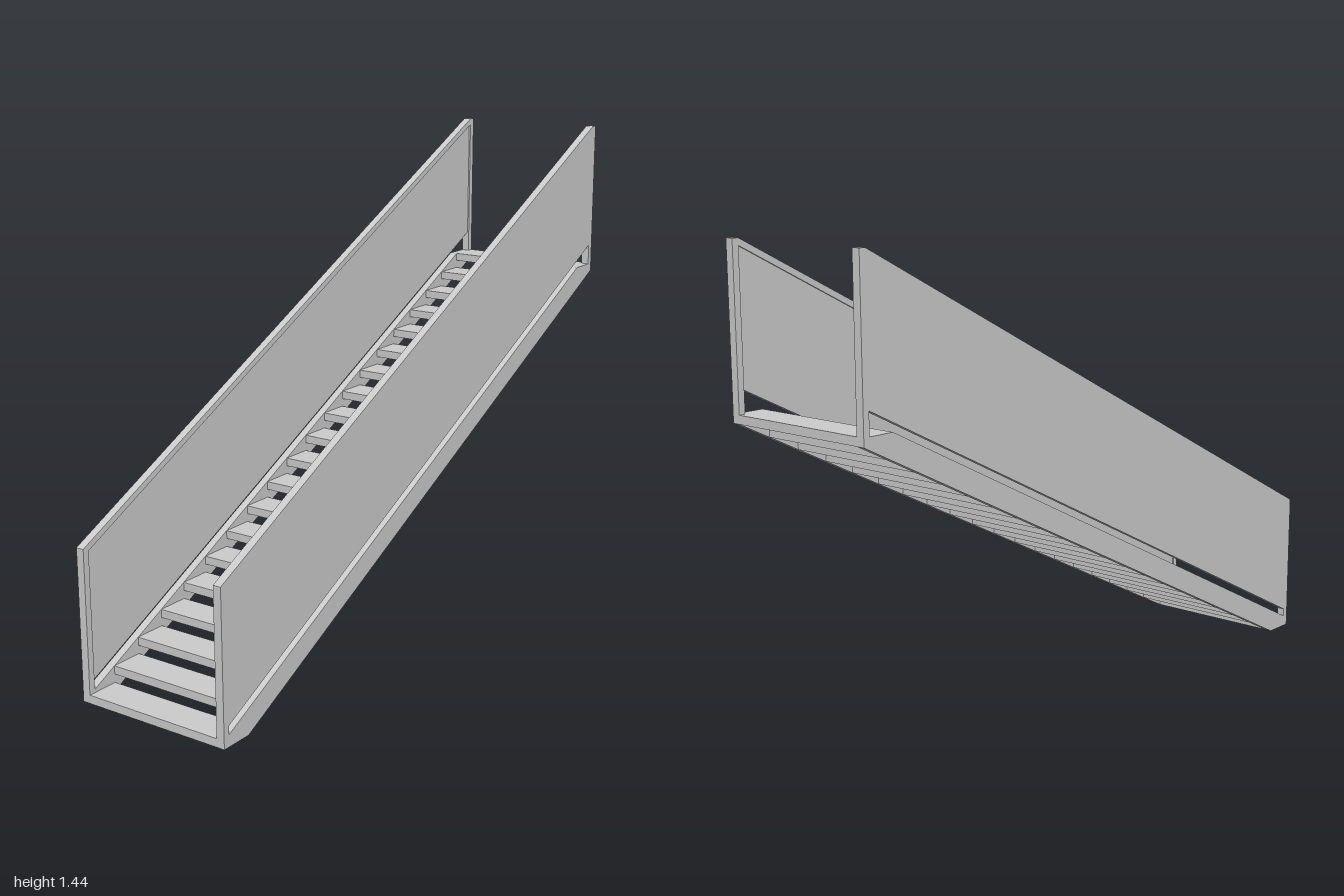
import * as THREE from 'three';

const STEPS = 20, RISE = 0.05, RUN = 0.1;
const HALF_WIDTH = 0.25, WALL = 0.025, RECESS = 0.005;

const material = new THREE.MeshStandardMaterial({ color: 0xcccccc, flatShading: true });

// Points are [z, y]; the profile plane is turned so depth runs along +x
const toPoints = (list) => list.map(([z, y]) => new THREE.Vector2(-z, y));

function sideLayer(hole, thickness, x, name) {
  const outline = [[1, 0], [0.9, 0], [-1, 0.95], [-1, 1.44], [-0.98, 1.44], [1, 0.45]];
  const shape = new THREE.Shape(toPoints(outline));
  shape.holes.push(new THREE.Path(toPoints(hole)));
  const geometry = new THREE.ExtrudeGeometry(shape, { depth: thickness, bevelEnabled: false });
  geometry.rotateY(Math.PI / 2);
  const mesh = new THREE.Mesh(geometry, material);
  mesh.position.x = x;
  mesh.name = name;
  return mesh;
}

export function createModel() {
  const group = new THREE.Group();
  group.name = 'staircase';

  // Open slot between the stringer and the side panel
  const slotBottom = [[0.98, 0.035], [-0.9, 0.975], [-0.98, 0.975]];
  const slot = [...slotBottom, [-0.98, 1.04], [0.98, 0.06]];
  // Larger opening on the inner face leaves a rim around the panel
  const opening = [...slotBottom, [-0.98, 1.42], [0.98, 0.44]];

  for (const side of [1, -1]) {
    const wall = new THREE.Group();
    wall.name = side > 0 ? 'leftSideWall' : 'rightSideWall';
    const panelX = side > 0 ? HALF_WIDTH - WALL + RECESS : -HALF_WIDTH;
    const rimX = side > 0 ? HALF_WIDTH - WALL : -HALF_WIDTH + WALL - RECESS;
    wall.add(sideLayer(slot, WALL - RECESS, panelX, 'sidePanel'));
    wall.add(sideLayer(opening, RECESS, rimX, 'innerRim'));
    group.add(wall);
  }

  // Open treads, each one rise up and one run back
  const treadGeometry = new THREE.BoxGeometry(2 * (HALF_WIDTH - WALL), RISE / 2, RUN);
  for (let i = 0; i < STEPS; i++) {
    const tread = new THREE.Mesh(treadGeometry, material);
    tread.name = `tread${i + 1}`;
    tread.position.set(0, RISE * (i + 0.25), 1 - RUN * (i + 0.5));
    group.add(tread);
  }
  return group;
}
